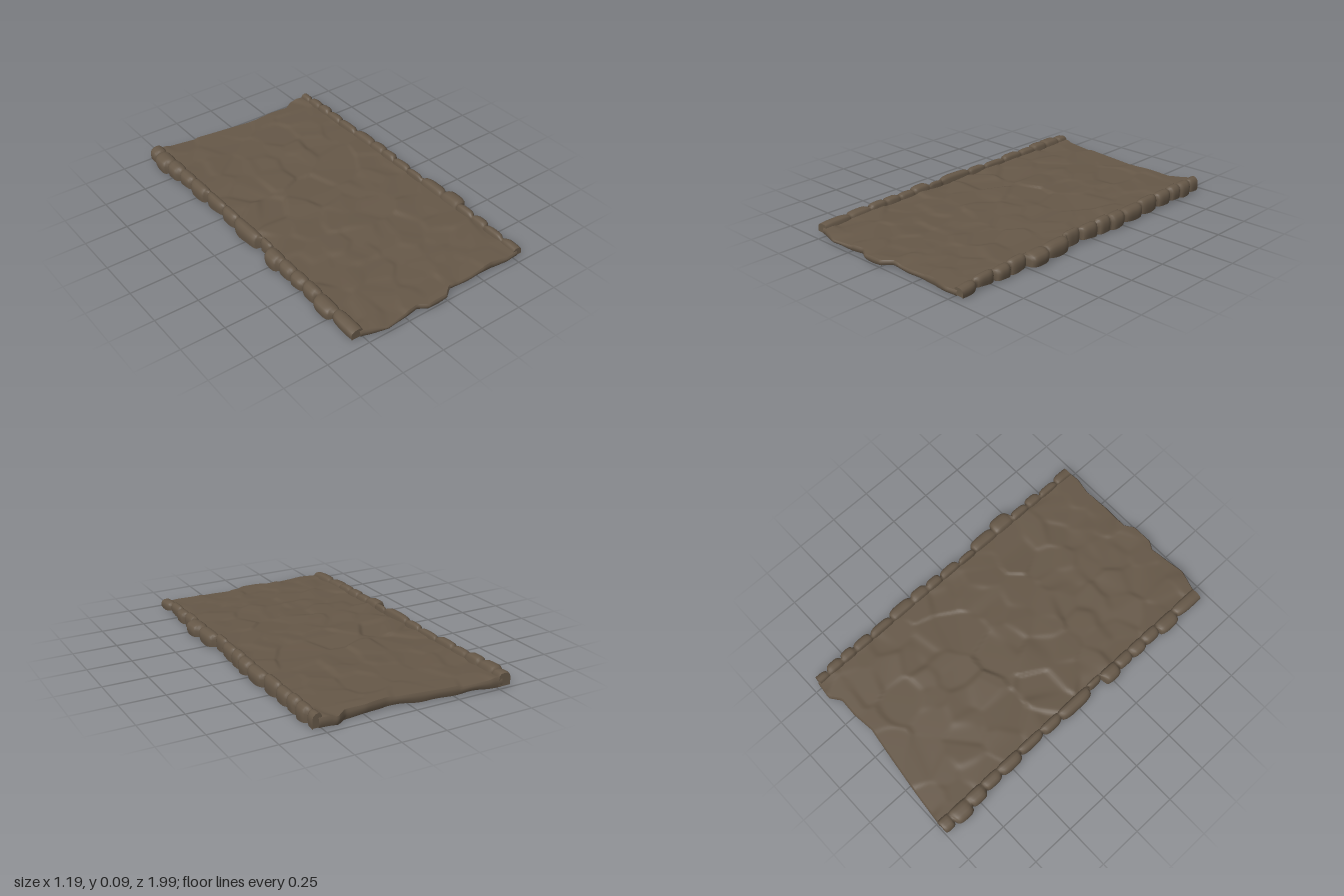
import * as THREE from 'three';

// Small seeded random generator
function seeded(seed) {
  return () => {
    seed = (seed * 16807) % 2147483647;
    return seed / 2147483647;
  };
}

// Piecewise linear lookup in [position, value] pairs
function lookup(points, p) {
  for (let i = 1; i < points.length; i++) {
    const [a, va] = points[i - 1], [b, vb] = points[i];
    if (p <= b) return THREE.MathUtils.lerp(va, vb, THREE.MathUtils.clamp((p - a) / (b - a), 0, 1));
  }
  return points[points.length - 1][1];
}

// Ragged ends of the path
const BACK = [[-0.56, -0.995], [-0.5, -0.985], [-0.3, -0.965], [-0.1, -0.94], [0.05, -0.92], [0.12, -0.91],
  [0.25, -0.925], [0.36, -0.92], [0.42, -0.965], [0.56, -0.95]];
const FRONT = [[-0.56, 0.945], [-0.5, 0.95], [-0.38, 0.99], [-0.2, 0.965], [-0.17, 0.96], [-0.12, 0.99], [0, 0.988],
  [0.05, 0.95], [0.2, 0.955], [0.35, 0.945], [0.45, 0.965], [0.56, 0.955]];
// Kerb stones: [end z, outer x], from back to front
const KERB = {
  '-1': [[-0.92, 0.58], [-0.8, 0.595], [-0.69, 0.58], [-0.57, 0.565], [-0.42, 0.565], [-0.25, 0.55], [-0.12, 0.555],
    [0.1, 0.565], [0.2, 0.535], [0.31, 0.58], [0.42, 0.565], [0.52, 0.57], [0.63, 0.565], [0.77, 0.582], [1, 0.57]],
  '1': [[-0.88, 0.552], [-0.78, 0.562], [-0.69, 0.562], [-0.57, 0.56], [-0.42, 0.555], [-0.26, 0.57], [-0.15, 0.57],
    [-0.05, 0.56], [0.08, 0.555], [0.2, 0.54], [0.37, 0.573], [0.5, 0.592], [0.62, 0.552], [0.72, 0.56], [0.85, 0.545], [1, 0.557]],
};
const KERB_TOP = [[-1, 0.09], [0.2, 0.089], [0.6, 0.078], [0.9, 0.066], [1, 0.055]];
const FLOOR_TOP = [[-1, 0.058], [-0.5, 0.06], [0.2, 0.056], [0.7, 0.048], [0.95, 0.04], [1, 0.036]];

// Outer edge and rounding (0 in a joint, 1 mid stone) of the kerb at z
function kerbAt(side, z) {
  const stones = KERB[side];
  let i = stones.findIndex(([end]) => z <= end);
  if (i < 0) i = stones.length - 1;
  const start = i ? stones[i - 1][0] : -1;
  const t = 2 * (z - start) / (stones[i][0] - start) - 1;
  const round = Math.sqrt(Math.max(0, 1 - Math.abs(t) ** 3.5));
  return { outer: stones[i][1] - 0.03 * (1 - round), round, lift: ((i * 7) % 5 - 2) * 0.0018 };
}

// Worn paving: scattered stones, each slightly raised and tilted
const rand = seeded(41);
const pavers = Array.from({ length: 130 }, () => ({
  x: rand() * 1.1 - 0.55, z: rand() * 2 - 1, h: (rand() - 0.5) * 0.01,
  tx: (rand() - 0.5) * 0.12, tz: (rand() - 0.5) * 0.12,
}));
function paving(x, z) {
  let sum = 0, total = 0;
  for (const p of pavers) {
    const dx = x - p.x, dz = z - p.z;
    const w = Math.exp(-(dx * dx + dz * dz) * 700) + 1e-12;
    sum += w * (p.h + p.tx * dx + p.tz * dz);
    total += w;
  }
  return lookup(FLOOR_TOP, z) + THREE.MathUtils.clamp(sum / total, -0.01, 0.008);
}

// Triangulated sheet from a grid of points
function sheet(rows) {
  const n = rows[0].length, index = [];
  for (let j = 0; j < rows.length - 1; j++) {
    for (let i = 0; i < n - 1; i++) {
      const a = j * n + i, b = a + 1, c = a + n, d = c + 1;
      index.push(a, c, b, b, c, d);
    }
  }
  const geometry = new THREE.BufferGeometry();
  geometry.setAttribute('position', new THREE.Float32BufferAttribute(rows.flat(2), 3));
  geometry.setIndex(index);
  geometry.computeVertexNormals();
  return geometry;
}

export function createModel() {
  const model = new THREE.Group();
  model.name = 'stonePath';
  const stone = new THREE.MeshStandardMaterial({ color: 0x665848, side: THREE.DoubleSide });
  stone.name = 'brown stone';
  const add = (name, rows) => {
    const mesh = new THREE.Mesh(sheet(rows), stone);
    mesh.name = name;
    model.add(mesh);
  };
  const foot = (p) => 0.009 + 0.004 * Math.sin(p * 13) + 0.003 * Math.sin(p * 31);
  const zAt = (x, v) => THREE.MathUtils.lerp(lookup(BACK, x), lookup(FRONT, x), v);

  // Paved floor
  const NX = 80, NZ = 150, floor = [];
  for (let j = 0; j <= NZ; j++) {
    const row = [];
    for (let i = 0; i <= NX; i++) {
      const x = -0.52 + 1.04 * i / NX, z = zAt(x, j / NZ);
      row.push([x, paving(x, z), z]);
    }
    floor.push(row);
  }
  add('pavedFloor', floor);

  // Rough end faces, bulging a little and open underneath
  for (const end of [-1, 1]) {
    const rows = [0, 0.25, 0.6, 1].map((t) => floor[end < 0 ? 0 : NZ].map(([x, y, z]) => [
      x, THREE.MathUtils.lerp(y, foot(x), t), z + end * 0.008 * Math.sin(Math.PI * t),
    ]));
    add(end < 0 ? 'backEdge' : 'frontEdge', end < 0 ? rows.reverse() : rows);
  }

  // Kerb stones along both sides: section runs from inner foot over the top to outer foot
  const SECTION = [[0, 0.35], [0.05, 0.8], [0.2, 0.96], [0.45, 1], [0.7, 0.96], [0.9, 0.83], [1, 0.6], [0.99, 0.3], [0.93, 0]];
  for (const side of [-1, 1]) {
    const rows = [];
    const N = 220;
    for (let j = 0; j <= N; j++) {
      const v = j / N, z = zAt(side * 0.54, v);
      const { outer, round, lift } = kerbAt(side, z);
      const base = foot(z * 1.3 + side);
      const top = lookup(KERB_TOP, z) + lift - 0.016 * (1 - round);
      const inner = 0.505 - 0.008 * round;
      const row = SECTION.map(([u, h]) => [side * THREE.MathUtils.lerp(inner, outer, u), THREE.MathUtils.lerp(base, top, h), z]);
      rows.push(side < 0 ? row.reverse() : row);
    }
    add(side < 0 ? 'rightKerb' : 'leftKerb', rows);

    // End faces of the kerb
    for (const end of [0, N]) {
      const top = rows[end];
      const low = top.map(([x, y, z]) => [x, Math.min(y, 0.012), z]);
      add('kerbEnd', end ? [top, low] : [low, top]);
    }
  }
  return model;
}
